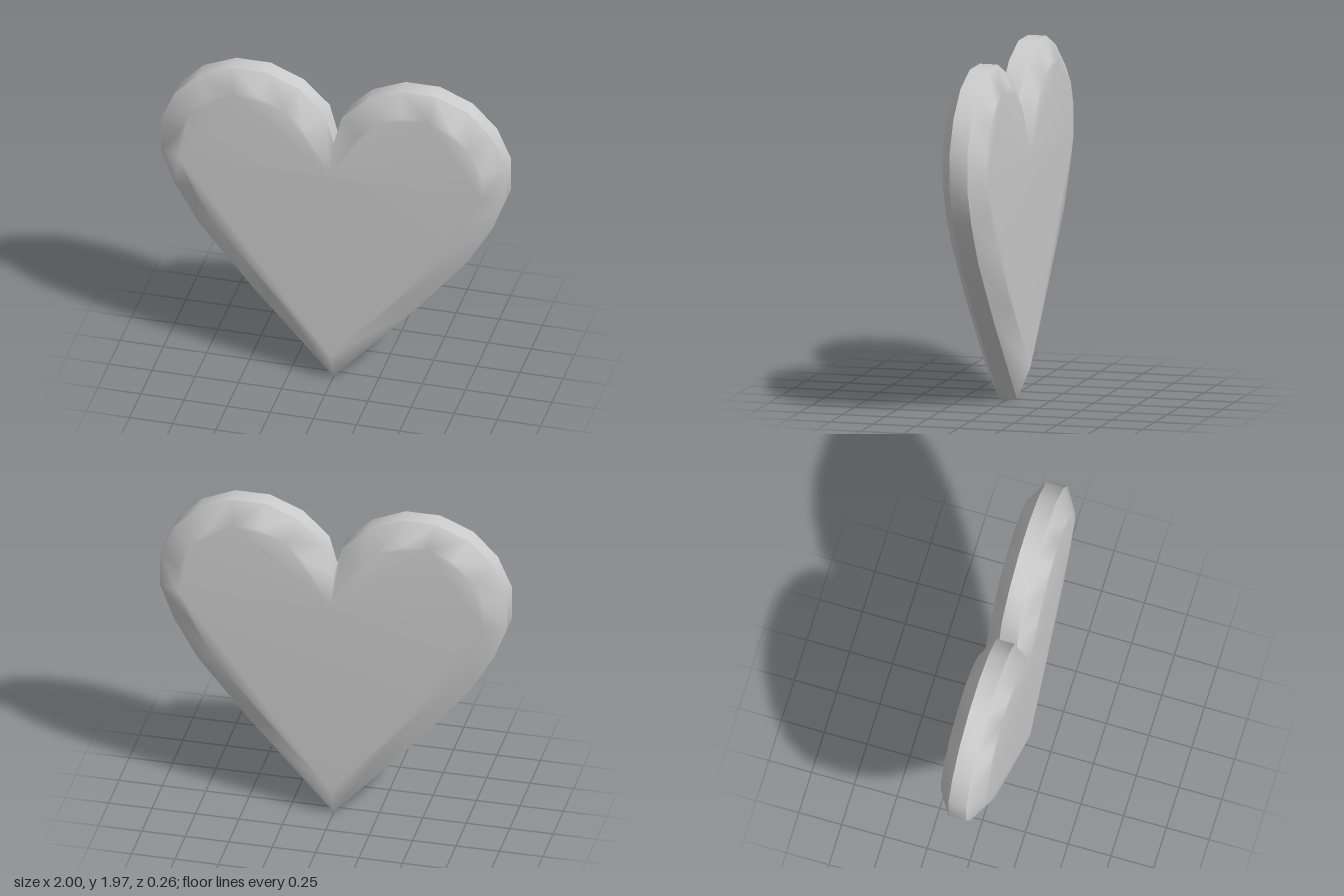
import * as THREE from 'three';
import { toCreasedNormals } from 'three/addons/utils/BufferGeometryUtils.js';

const RIM_Z = 0.052, FACE_Z = 0.13, BEVEL = 0.123;

// Right half of the heart, clockwise from the notch to the tip
const half = [
  [0, 1.56], [0.05, 1.745], [0.2, 1.89], [0.39, 1.97], [0.59, 1.97], [0.78, 1.89], [0.92, 1.745],
  [1, 1.56], [1, 1.35], [0.92, 1.14], [0.78, 0.9], [0.46, 0.51], [0, 0],
];

function heartOutline() {
  const mirrored = half.slice(1, -1).reverse().map(([x, y]) => [-x, y]);
  return [...half, ...mirrored].map(([x, y]) => new THREE.Vector2(x, y));
}

// Mitred inward offset of a clockwise loop
function inset(loop, d) {
  const n = loop.length;
  const normal = (a, b) => new THREE.Vector2(b.y - a.y, a.x - b.x).normalize();
  return loop.map((p, i) => {
    const n1 = normal(loop[(i + n - 1) % n], p);
    const n2 = normal(p, loop[(i + 1) % n]);
    return n1.clone().add(n2).multiplyScalar(d / (1 + n1.dot(n2))).add(p);
  });
}

function indexed(positions, index) {
  const g = new THREE.BufferGeometry();
  g.setAttribute('position', new THREE.Float32BufferAttribute(positions, 3));
  g.setIndex(index);
  g.computeVertexNormals();
  return g;
}

// Smooth bevel and flat face; side is 1 for front, -1 for back
function faceGeometry(outer, inner, side) {
  const n = outer.length, index = [];
  const positions = [
    ...outer.flatMap((p) => [p.x, p.y, side * RIM_Z]),
    ...inner.flatMap((p) => [p.x, p.y, side * FACE_Z]),
  ];
  const tri = (a, b, c) => index.push(...(side > 0 ? [a, b, c] : [a, c, b]));
  for (let i = 0; i < n; i++) {
    const j = (i + 1) % n;
    tri(i, n + i, n + j);
    tri(i, n + j, j);
  }
  for (const [a, b, c] of THREE.ShapeUtils.triangulateShape(inner, [])) {
    const ccw = THREE.ShapeUtils.area([inner[a], inner[b], inner[c]]) > 0;
    if (ccw) tri(n + a, n + b, n + c);
    else tri(n + a, n + c, n + b);
  }
  return indexed(positions, index);
}

// Straight band around the edge, sharp at the notch and tip
function rimGeometry(outer) {
  const n = outer.length, index = [];
  const positions = [RIM_Z, -RIM_Z].flatMap((z) => outer.flatMap((p) => [p.x, p.y, z]));
  for (let i = 0; i < n; i++) {
    const j = (i + 1) % n;
    index.push(i, j, n + j, i, n + j, n + i);
  }
  return toCreasedNormals(indexed(positions, index), 0.7);
}

export function createModel() {
  const group = new THREE.Group();
  group.name = 'heart';
  const material = new THREE.MeshStandardMaterial({ color: 0xcccccc });

  const outer = heartOutline();
  const inner = inset(outer, BEVEL);
  inner[0].set(0, 1.4); // shortened mitre below the notch

  const add = (name, geometry) => {
    const mesh = new THREE.Mesh(geometry, material);
    mesh.name = name;
    group.add(mesh);
  };
  add('frontFace', faceGeometry(outer, inner, 1));
  add('backFace', faceGeometry(outer, inner, -1));
  add('rim', rimGeometry(outer));
  return group;
}
